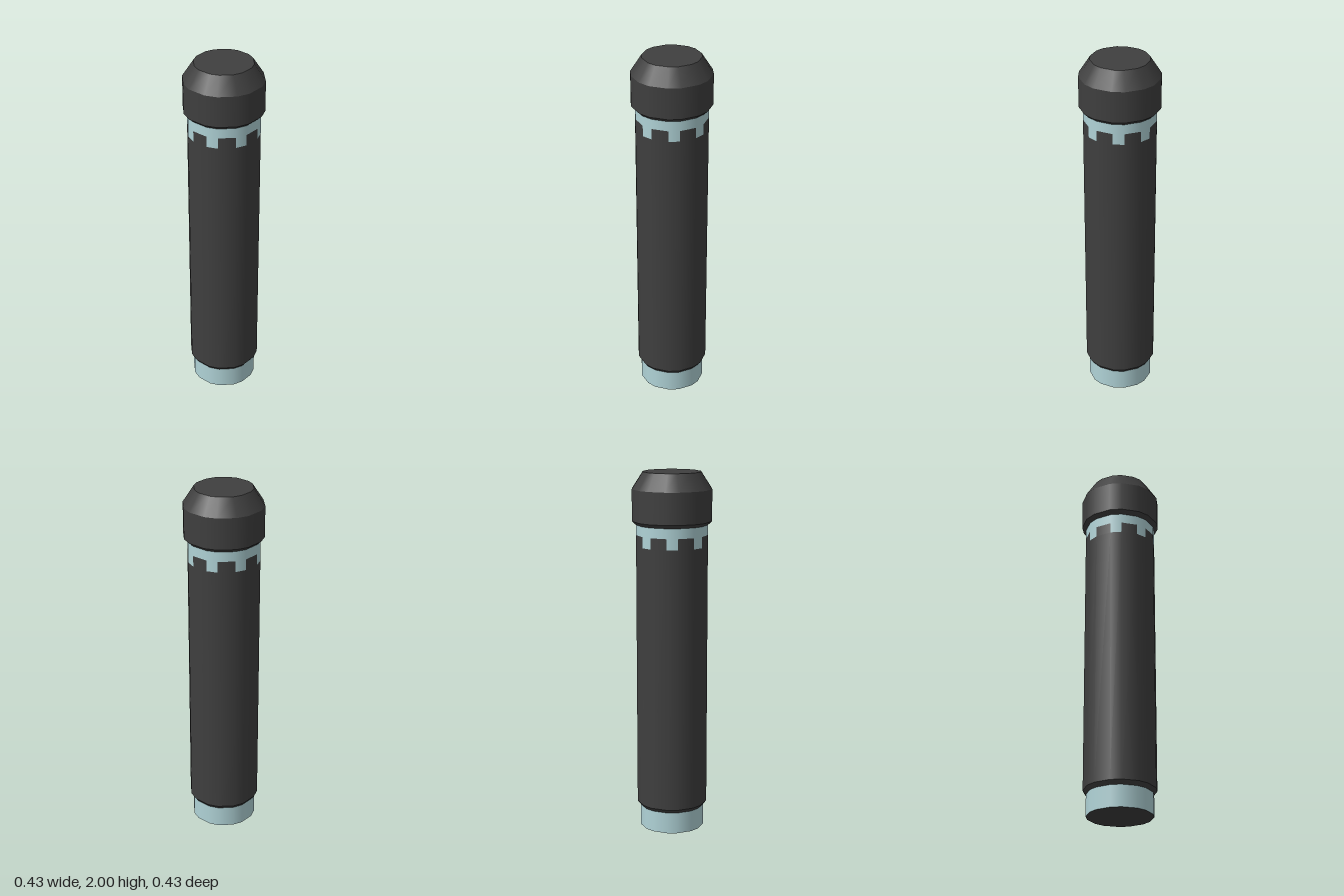
import * as THREE from 'three';

const dark = new THREE.MeshStandardMaterial({ color: 0x3f3f3f });
dark.name = 'charcoal';
const pale = new THREE.MeshStandardMaterial({ color: 0xb0d3d7 });
pale.name = 'pale teal';

// Sixteen corners: eight wide sides alternating with eight narrow ones
const corners = [];
for (let i = 0; i < 8; i++) corners.push(-8 + i * 45, 19 + i * 45);
corners.push(352);
const all = () => true;
const narrow = (side) => side % 2 === 1;
const wide = (side) => side % 2 === 0;

// Sweeps a [radius, y] profile (bottom to top) around the chosen sides,
// smooth around the barrel and sharp between profile segments
function barrel(name, profile, material, useSide = all) {
  const pos = [], nor = [], idx = [];
  for (let p = 0; p < profile.length - 1; p++) {
    const [r0, y0] = profile[p], [r1, y1] = profile[p + 1];
    const len = Math.hypot(r1 - r0, y1 - y0);
    const out = (y1 - y0) / len, up = (r0 - r1) / len;
    for (let s = 0; s < 16; s++) {
      if (!useSide(s)) continue;
      const n = pos.length / 3;
      for (const deg of [corners[s], corners[s + 1]]) {
        const c = Math.cos(deg * Math.PI / 180), k = Math.sin(deg * Math.PI / 180);
        pos.push(r0 * c, y0, r0 * k, r1 * c, y1, r1 * k);
        nor.push(out * c, up, out * k, out * c, up, out * k);
      }
      if (r0 > 0) idx.push(n, n + 1, n + 2);
      if (r1 > 0) idx.push(n + 1, n + 3, n + 2);
    }
  }
  const geo = new THREE.BufferGeometry();
  geo.setAttribute('position', new THREE.Float32BufferAttribute(pos, 3));
  geo.setAttribute('normal', new THREE.Float32BufferAttribute(nor, 3));
  geo.setIndex(idx);
  const mesh = new THREE.Mesh(geo, material);
  mesh.name = name;
  return mesh;
}

export function createModel() {
  const group = new THREE.Group();
  group.name = 'canister';
  const R = 0.197;
  group.add(
    // Base: dark underside and pale foot
    barrel('baseUnderside', [[0, 0], [0.18, 0]], dark),
    barrel('baseFoot', [[0.18, 0], [0.18, 0.12]], pale),
    // Long grip with a chamfered lower rim
    barrel('grip', [[0.18, 0.12], [R, 0.142], [R, 1.6]], dark),
    // Castellated edge: dark wide teeth, pale narrow gaps
    barrel('gripTeeth', [[R, 1.6], [R, 1.66]], dark, wide),
    barrel('collarTeeth', [[R, 1.6], [R, 1.66]], pale, narrow),
    barrel('collar', [[R, 1.66], [R, 1.715]], pale),
    // Chamfered cap
    barrel('cap', [[R, 1.715], [0.219, 1.735], [0.219, 1.907], [0.159, 2], [0, 2]], dark),
  );
  return group;
}
